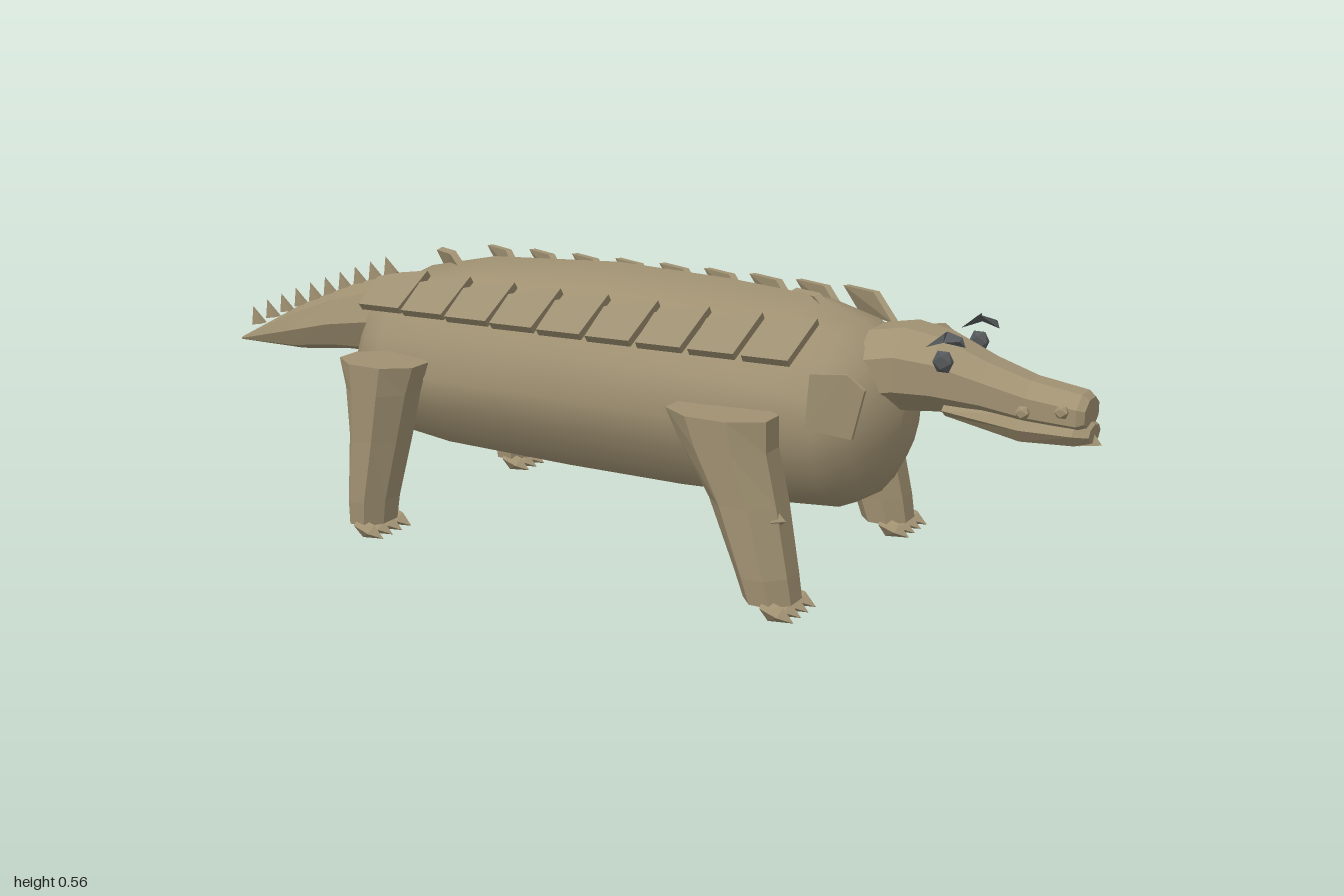
import * as THREE from 'three';
import { ConvexGeometry } from 'three/addons/geometries/ConvexGeometry.js';

const hide = new THREE.MeshStandardMaterial({ color: 0xa09172 });
hide.name = 'olive hide';
const dark = new THREE.MeshStandardMaterial({ color: 0x55585a });
dark.name = 'dark grey';

// Skin closed rings of points, capping both ends with fans
function loft(rings, flat) {
  const n = rings[0].length, pos = [], idx = [];
  rings.forEach(r => r.forEach(p => pos.push(...p)));
  for (let i = 0; i < rings.length - 1; i++) {
    for (let j = 0; j < n; j++) {
      const a = i * n + j, b = i * n + (j + 1) % n;
      idx.push(a, b, a + n, b, b + n, a + n);
    }
  }
  const last = (rings.length - 1) * n;
  for (let j = 1; j < n - 1; j++) idx.push(0, j + 1, j, last, last + j, last + j + 1);
  let g = new THREE.BufferGeometry();
  g.setAttribute('position', new THREE.Float32BufferAttribute(pos, 3));
  g.setIndex(idx);
  if (flat) g = g.toNonIndexed();
  g.computeVertexNormals();
  return g;
}

// Ring across x; facet = 1 makes it octagonal, 0 round
function ringX([x, y0, y1, w, facet = 0], n, turn = 0) {
  const ring = [];
  for (let j = 0; j < n; j++) {
    const a = (j / n) * Math.PI * 2 + turn;
    const q = Math.PI / 8;
    const oct = Math.cos(q) / Math.cos((a % (2 * q)) - q);
    const r = 1 + (oct - 1) * facet;
    ring.push([x, (y0 + y1) / 2 + Math.cos(a) * r * (y1 - y0) / 2, Math.sin(a) * r * w]);
  }
  return ring;
}

// Ring across y, for the legs
function ringY([y, cx, rx, cz, rz], n) {
  const ring = [];
  for (let j = 0; j < n; j++) {
    const a = ((j + 0.5) / n) * Math.PI * 2, k = 1.06;
    ring.push([cx + Math.cos(a) * rx * k, y, cz + Math.sin(a) * rz * k]);
  }
  return ring;
}

const hull = pts => new ConvexGeometry(pts.map(p => new THREE.Vector3(...p)));

// Thin slab from flat corners
function slab(corners, t) {
  const v = corners.map(p => new THREE.Vector3(...p));
  const n = v[1].clone().sub(v[0]).cross(v[2].clone().sub(v[0])).normalize().multiplyScalar(t / 2);
  return new ConvexGeometry(v.flatMap(p => [p.clone().add(n), p.clone().sub(n)]));
}

export function createModel() {
  const model = new THREE.Group();
  const add = (name, geo, mat = hide) => {
    const m = new THREE.Mesh(geo, mat);
    m.name = name;
    model.add(m);
    return m;
  };

  // Barrel body: x, bottom, top, half width, faceting
  add('body', loft([
    [-0.625, 0.29, 0.34, 0.04, 1], [-0.59, 0.23, 0.42, 0.1, 1], [-0.53, 0.17, 0.475, 0.175, 1],
    [-0.46, 0.145, 0.51, 0.22, 1], [-0.3, 0.127, 0.545, 0.25, 1], [0, 0.125, 0.563, 0.275, 1],
    [0.25, 0.125, 0.555, 0.268, 1], [0.43, 0.13, 0.54, 0.245, 0.5], [0.53, 0.145, 0.505, 0.22],
    [0.58, 0.175, 0.475, 0.17], [0.615, 0.235, 0.43, 0.1], [0.63, 0.29, 0.37, 0.04],
  ].map(s => ringX(s, 16)), false));

  // Tail and its row of spikes
  add('tail', loft([
    [-0.998, 0.284, 0.29, 0.003], [-0.82, 0.285, 0.385, 0.055],
    [-0.69, 0.3, 0.44, 0.082], [-0.555, 0.305, 0.485, 0.103],
  ].map(s => ringX(s, 8)), true));
  for (let i = 0; i < 10; i++) {
    const x = -0.95 + i * 0.042, y = 0.3 + 0.185 * Math.pow((x + 1) / 0.44, 0.85), s = 0.018;
    add('tailSpike', hull([[x - s, y - 0.008, 0], [x + s, y, 0.009], [x + s, y, -0.009],
      [x - 0.012, y + 0.036, 0]]));
  }

  // Neck, head and snout
  add('head', loft([
    [0.54, 0.32, 0.48, 0.1], [0.56, 0.33, 0.503, 0.102], [0.63, 0.345, 0.516, 0.1],
    [0.7, 0.352, 0.503, 0.09], [0.79, 0.355, 0.465, 0.072], [0.87, 0.345, 0.44, 0.06],
    [0.965, 0.345, 0.425, 0.057], [0.978, 0.355, 0.415, 0.045],
  ].map(s => ringX(s, 8, Math.PI / 8)), true));
  add('lowerJaw', loft([
    [0.72, 0.35, 0.39, 0.07], [0.86, 0.315, 0.385, 0.058], [0.96, 0.322, 0.38, 0.055],
    [0.985, 0.33, 0.365, 0.035],
  ].map(s => ringX(s, 8)), true));
  add('beakTip', hull([[0.965, 0.372, 0], [0.965, 0.328, 0.025], [0.965, 0.328, -0.025], [1, 0.328, 0]]));

  for (const s of [1, -1]) {
    // Eyes, hooked brows and snout bumps
    const eye = add('eye', new THREE.IcosahedronGeometry(0.019, 0), dark);
    eye.position.set(0.728, 0.468, s * 0.092);
    eye.scale.set(1.1, 1.2, 0.75);
    add('brow', hull([[0.695, 0.492, s * 0.083], [0.695, 0.492, s * 0.096], [0.73, 0.522, s * 0.08],
      [0.73, 0.505, s * 0.1], [0.73, 0.522, s * 0.095]]), dark);
    add('browHook', hull([[0.73, 0.522, s * 0.08], [0.73, 0.505, s * 0.1], [0.76, 0.515, s * 0.085],
      [0.768, 0.498, s * 0.088], [0.76, 0.51, s * 0.098]]), dark);
    for (const [x, y, z] of [[0.87, 0.385, 0.06], [0.94, 0.395, 0.055]]) {
      const bump = add('snoutBump', new THREE.IcosahedronGeometry(0.014, 0));
      bump.position.set(x, y, s * z);
    }

    // Shoulder fins
    add('shoulderFin', slab([[0.52, 0.345, s * 0.222], [0.615, 0.34, s * 0.228], [0.64, 0.435, s * 0.235],
      [0.605, 0.46, s * 0.235], [0.53, 0.45, s * 0.228]], 0.008));

    // Legs: y, centre x, half x, centre z, half z
    const legs = {
      frontLeg: [[0.37, 0.375, 0.105, 0.272, 0.067], [0.31, 0.39, 0.09, 0.27, 0.067],
        [0.21, 0.43, 0.07, 0.265, 0.068], [0.08, 0.472, 0.055, 0.272, 0.062], [0.03, 0.485, 0.05, 0.272, 0.058]],
      hindLeg: [[0.37, -0.39, 0.092, 0.272, 0.067], [0.31, -0.395, 0.075, 0.27, 0.067],
        [0.21, -0.408, 0.06, 0.265, 0.068], [0.08, -0.425, 0.047, 0.272, 0.062], [0.03, -0.428, 0.043, 0.272, 0.058]],
    };
    for (const [name, rows] of Object.entries(legs)) {
      const secs = rows.map(([y, cx, rx, cz, rz]) => ringY([y, cx, rx, s * cz, rz], 8));
      add(name, loft(secs, true));
      // Four claws on each foot
      const fx = name === 'frontLeg' ? 0.5 : -0.42;
      for (let i = 0; i < 4; i++) {
        const z = s * (0.225 + i * 0.032), w = 0.016;
        add('claw', hull([[fx - 0.01, 0.045, z], [fx - 0.01, 0.03, z + w], [fx - 0.01, 0.03, z - w],
          [fx + 0.03, 0.034, z], [fx + 0.025, 0.018, z + w], [fx + 0.025, 0.018, z - w],
          [fx + 0.052, 0.008, z], [fx, 0.003, z]]));
      }
    }
    const knob = add('kneeKnob', new THREE.OctahedronGeometry(0.02));
    knob.position.set(0.495, 0.185, s * 0.285);
  }

  // Two flank rows of plates, leaning back
  for (let i = 0; i < 9; i++) {
    const x = -0.46 + i * 0.108;
    const bulge = 0.012 * Math.sin((i / 8) * Math.PI);
    add('leftPlate', slab([[x, 0.468, 0.252 + bulge], [x + 0.085, 0.465, 0.235 + bulge],
      [x + 0.11, 0.532, 0.165 + bulge], [x + 0.06, 0.527, 0.185 + bulge],
      [x + 0.015, 0.518, 0.205 + bulge]], 0.022));
    add('rightPlate', slab([[x + 0.14, 0.475, -0.13 - bulge], [x + 0.08, 0.522, -0.172 - bulge],
      [x - 0.015, 0.513, -0.242 - bulge], [x + 0.03, 0.465, -0.225 - bulge]], 0.014));
  }
  // Small ridge plates showing at both ends of the back
  for (const x of [-0.42, 0.42]) {
    add('ridgePlate', slab([[x + 0.07, 0.495, 0.02], [x + 0.02, 0.545, 0.01],
      [x - 0.06, 0.535, -0.055], [x - 0.02, 0.49, -0.04]], 0.014));
  }
  return model;
}
